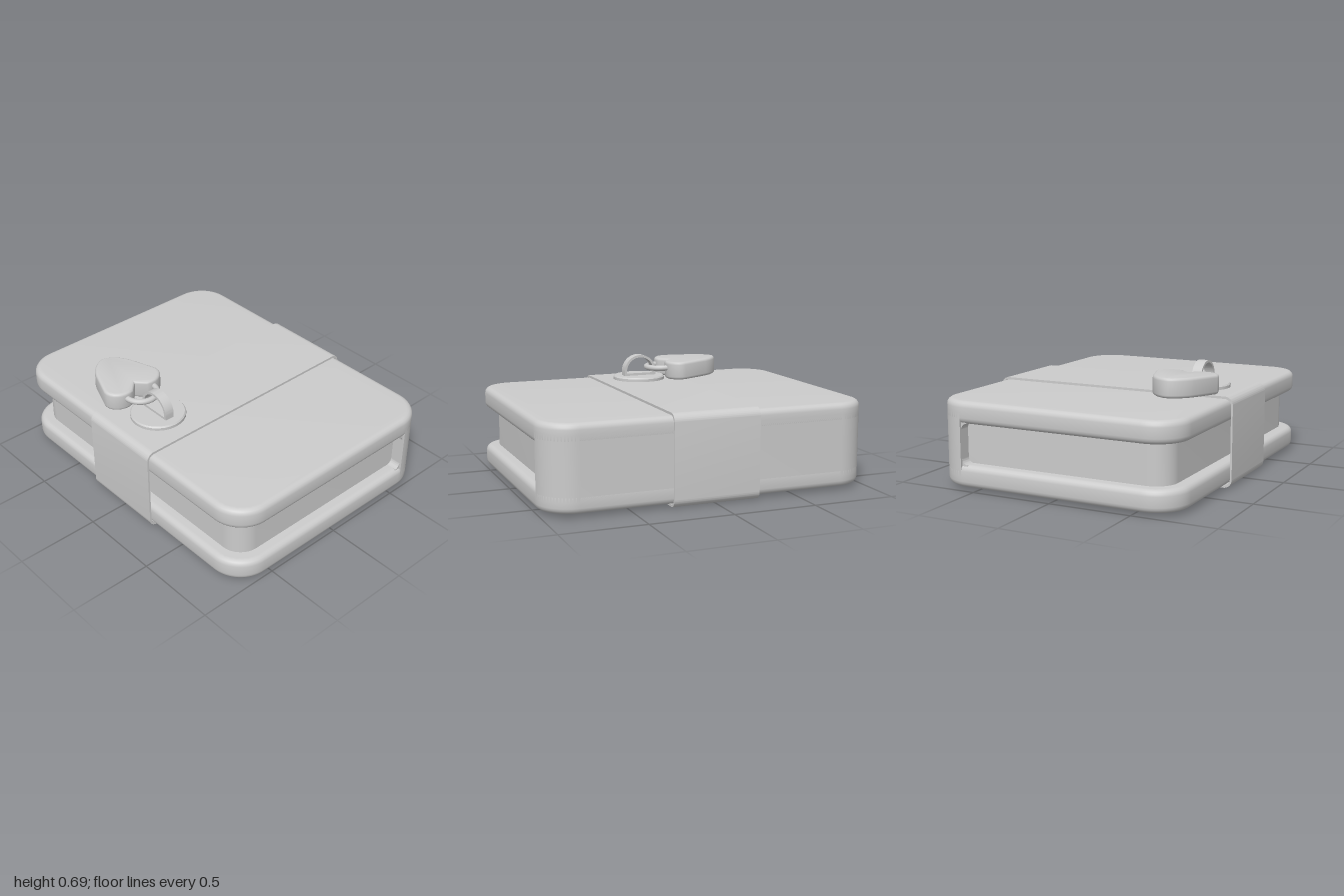
import * as THREE from 'three';
import { toCreasedNormals } from 'three/addons/utils/BufferGeometryUtils.js';

const material = new THREE.MeshStandardMaterial({ color: 0xcccccc, side: THREE.DoubleSide });
const MID = 0.27; // half height of the book

// Rounded rectangle; rl and rr are the corner radii on the -x and +x sides
function roundedRect(x0, x1, y0, y1, rl, rr = rl, Type = THREE.Shape) {
  const s = new Type();
  const h = Math.PI / 2;
  s.absarc(x1 - rr, y0 + rr, rr, -h, 0);
  s.absarc(x1 - rr, y1 - rr, rr, 0, h);
  s.absarc(x0 + rl, y1 - rl, rl, h, 2 * h);
  s.absarc(x0 + rl, y0 + rl, rl, 2 * h, 3 * h);
  s.closePath();
  return s;
}

// Extrusion of exact outer size, centred along its depth
function slab(shape, depth, bevel = 0, curveSegments = 8) {
  const g = new THREE.ExtrudeGeometry(shape, {
    depth: depth - 2 * bevel, curveSegments,
    bevelEnabled: bevel > 0, bevelThickness: bevel, bevelSize: bevel,
    bevelOffset: -bevel, bevelSegments: 4,
  });
  g.translate(0, 0, bevel - depth / 2);
  return toCreasedNormals(g, 0.6);
}

// Same, but lying flat: shape (x, y) becomes (x, -z)
const flatSlab = (...args) => slab(...args).rotateX(-Math.PI / 2);

export function createModel() {
  const model = new THREE.Group();
  const add = (name, geometry, x = 0, y = 0, z = 0, parent = model) => {
    const m = new THREE.Mesh(geometry, material);
    m.name = name;
    m.position.set(x, y, z);
    parent.add(m);
    return m;
  };

  // Two thick covers with soft edges
  const cover = flatSlab(roundedRect(-0.76, 0.76, -1, 1, 0.2), 0.13, 0.035);
  add('bottomCover', cover, 0, 0.085);
  add('topCover', cover, 0, 0.455);

  // Spine joining the covers, following their rounded corners
  const spineShape = new THREE.Shape();
  spineShape.absarc(0.56, -0.8, 0.2, -Math.PI / 2 + 0.1, 0);
  spineShape.absarc(0.56, 0.8, 0.2, 0, Math.PI / 2 - 0.1);
  spineShape.closePath();
  add('spine', flatSlab(spineShape, 0.37), 0, MID);

  // Small fillets where the spine meets the covers
  const fillet = new THREE.Shape();
  fillet.moveTo(0.59, -0.13);
  fillet.lineTo(0.59, -0.085);
  fillet.lineTo(0.58, -0.085);
  fillet.absarc(0.545, -0.085, 0.035, 0, -Math.PI / 2, true);
  fillet.lineTo(0.545, -0.13);
  fillet.closePath();
  const filletGeometry = slab(fillet, 1.97);
  add('lowerFillet', filletGeometry, 0, MID);
  add('upperFillet', filletGeometry, 0, MID).rotation.x = Math.PI;

  // Page block
  add('pages', flatSlab(roundedRect(-0.68, 0.62, -0.92, 0.92, 0.13, 0.02), 0.26), 0, MID);

  // Thin strap wrapped around the book
  const strap = roundedRect(-0.777, 0.777, 0, 0.535, 0.05);
  strap.holes.push(roundedRect(-0.766, 0.766, 0.014, 0.521, 0.04, 0.04, THREE.Path));
  add('strap', slab(strap, 0.525));

  // Clasp plate with a raised loop
  const clasp = new THREE.Group();
  clasp.name = 'clasp';
  clasp.position.set(-0.48, 0.53, 0);
  model.add(clasp);
  const plate = [[0, 0], [0.165, 0], [0.165, 0.022], [0.158, 0.03], [0, 0.03]]
    .map(([x, y]) => new THREE.Vector2(x, y));
  add('claspPlate', toCreasedNormals(new THREE.LatheGeometry(plate, 28), 0.6), 0, 0, 0, clasp);

  const loop = new THREE.Shape();
  loop.moveTo(-0.107, 0.025);
  loop.lineTo(0.107, 0.025);
  loop.lineTo(0.107, 0.055);
  loop.absarc(0, 0.055, 0.107, 0, Math.PI);
  loop.closePath();
  const opening = new THREE.Path();
  opening.moveTo(-0.092, 0.045);
  opening.lineTo(0.092, 0.045);
  opening.lineTo(0.092, 0.055);
  opening.absarc(0, 0.055, 0.092, 0, Math.PI);
  opening.closePath();
  loop.holes.push(opening);
  add('claspLoop', slab(loop, 0.06, 0, 20).rotateY(Math.PI / 2), 0, 0, 0, clasp);

  // Heart-shaped padlock lying on the cover, tip towards the back
  const padlock = new THREE.Group();
  padlock.name = 'padlock';
  padlock.position.set(-0.48, 0.6, -0.34);
  padlock.rotation.x = 0.03;
  model.add(padlock);
  const heart = new THREE.Shape();
  heart.moveTo(0, -0.125);
  heart.lineTo(0.055, -0.178);
  heart.bezierCurveTo(0.13, -0.205, 0.205, -0.15, 0.195, -0.085);
  heart.lineTo(0.13, 0.085);
  heart.bezierCurveTo(0.1, 0.15, 0.04, 0.196, 0, 0.196);
  heart.bezierCurveTo(-0.04, 0.196, -0.1, 0.15, -0.13, 0.085);
  heart.lineTo(-0.195, -0.085);
  heart.bezierCurveTo(-0.205, -0.15, -0.13, -0.205, -0.055, -0.178);
  heart.closePath();
  add('padlockBody', flatSlab(heart, 0.115, 0.018), 0, 0, 0, padlock);

  // Shackle passing through the loop
  const shackle = new THREE.TorusGeometry(0.1, 0.018, 10, 32);
  shackle.rotateX(Math.PI / 2);
  add('shackle', shackle, 0, 0.014, 0.178, padlock);

  return model;
}
